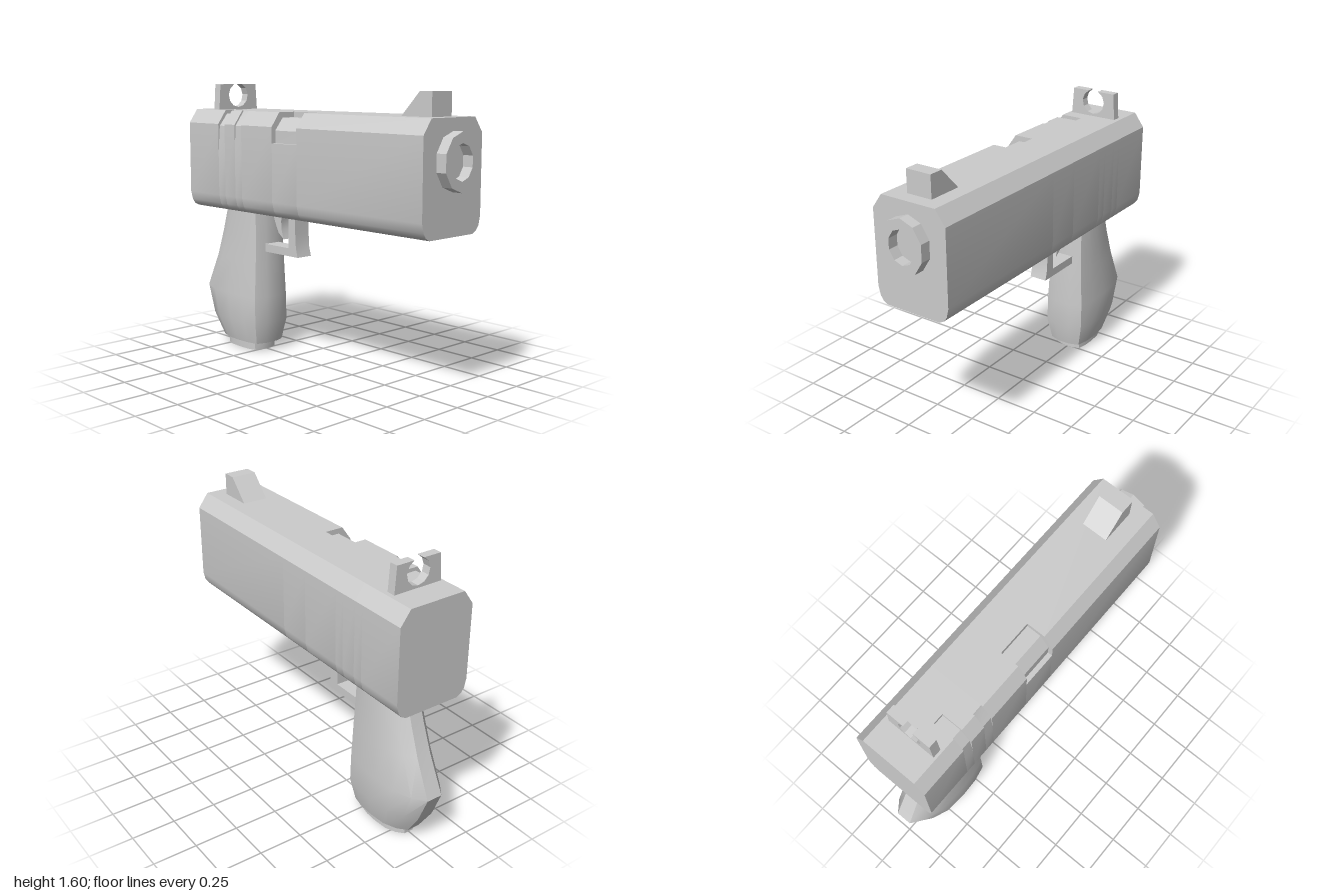
import * as THREE from 'three';
import { toCreasedNormals } from 'three/addons/utils/BufferGeometryUtils.js';

const material = new THREE.MeshStandardMaterial({ color: 0xcccccc });

function addMesh(parent, name, geometry) {
  const mesh = new THREE.Mesh(geometry, material);
  mesh.name = name;
  parent.add(mesh);
  return mesh;
}

const toShape = (points) => new THREE.Shape(points.map(([a, b]) => new THREE.Vector2(a, b)));

function extrude(shape, depth) {
  return new THREE.ExtrudeGeometry(shape, { depth, bevelEnabled: false, curveSegments: 8 });
}

// Cross-section given as [z, y], swept along x from x0 to x1
function alongX(points, x0, x1) {
  const g = extrude(toShape(points.map(([z, y]) => [-z, y])), x1 - x0);
  return toCreasedNormals(g.rotateY(Math.PI / 2).translate(x0, 0, 0), 0.5);
}

// Side outline given as [x, y], centred on z
function alongZ(points, width, z = 0) {
  return toCreasedNormals(extrude(toShape(points), width).translate(0, 0, z - width / 2), 0.5);
}

// Half of the grip section, front to back: [along x, across z], both as fractions
const HALF_SECTION = [[1, 0.34], [0.9, 0.84], [0.55, 0.97], [0.1, 1], [-0.4, 0.93], [-0.76, 0.68], [-1, 0.32]];
const SECTION = [...HALF_SECTION, ...HALF_SECTION.map(([u, w]) => [u, -w]).reverse()];

// Loft the section through levels [y, back x, front x, half width], from the bottom up
function loft(levels) {
  const rings = levels.map(([y, back, front, half]) => SECTION.map(([u, w]) =>
    [(back + front) / 2 + u * (front - back) / 2, y, w * half]));
  const n = SECTION.length;
  const out = [];
  for (let l = 0; l < rings.length - 1; l++) {
    for (let i = 0; i < n; i++) {
      const j = (i + 1) % n;
      const [a, b, c, d] = [rings[l][i], rings[l][j], rings[l + 1][j], rings[l + 1][i]];
      out.push(...a, ...d, ...b, ...b, ...d, ...c);
    }
  }
  const bottom = rings[0];
  const top = rings[rings.length - 1];
  for (let i = 1; i < n - 1; i++) {
    out.push(...bottom[0], ...bottom[i], ...bottom[i + 1]);
    out.push(...top[0], ...top[i + 1], ...top[i]);
  }
  const g = new THREE.BufferGeometry();
  g.setAttribute('position', new THREE.Float32BufferAttribute(out, 3));
  return toCreasedNormals(g, 0.5);
}

function createSlide() {
  const slide = new THREE.Group();
  slide.name = 'slide';
  // Common outline from the top far edge, round the bottom, up to the near wall
  const base = [[-0.165, 1.45], [-0.224, 1.37], [-0.224, 0.95], [-0.212, 0.9], [-0.193, 0.875], [-0.165, 0.86],
    [0.165, 0.86], [0.193, 0.875], [0.21, 0.9], [0.222, 0.95]];
  const full = [[0.222, 1.37], [0.165, 1.45]];
  const port = [[0.222, 1.28], [0.195, 1.28], [0.195, 1.35], [0.14, 1.42], [0.055, 1.42], [0.055, 1.45]];
  const longSlot = [[0.222, 1.21], [0.21, 1.36], [0.155, 1.43], [0.04, 1.43], [0.04, 1.45]];
  const shortSlot = [[0.222, 1.21], [0.215, 1.365], [0.16, 1.44], [0.155, 1.45]];
  // Lengthwise pieces, the recessed ones with a cut-back near edge
  const pieces = [
    ['slideRear', full, -0.935, -0.65],
    ['longSlot', longSlot, -0.65, -0.59],
    ['slideBetweenSlots', full, -0.59, -0.495],
    ['shortSlot', shortSlot, -0.495, -0.435],
    ['slideMiddle', full, -0.435, -0.165],
    ['sidePort', port, -0.165, 0.04],
    ['slideFront', full, 0.04, 0.94],
  ];
  for (const [name, edge, x0, x1] of pieces) addMesh(slide, name, alongX([...base, ...edge], x0, x1));
  return slide;
}

// Ten-sided ring, slightly taller than wide
function createMuzzle() {
  const ring = (r) => Array.from({ length: 10 }, (_, i) => {
    const a = Math.PI / 2 + i * Math.PI / 5;
    return new THREE.Vector2(r * 0.87 * Math.cos(a), r * Math.sin(a));
  });
  const shape = new THREE.Shape(ring(0.15));
  shape.holes.push(new THREE.Path(ring(0.094)));
  return extrude(shape, 0.065).rotateY(Math.PI / 2).translate(0.935, 1.235, 0);
}

// Upright plate with a round opening and a slot to the top
function createRearSight() {
  const r = 0.072, cy = 1.535;
  const start = Math.acos(0.03 / r);
  const arc = Array.from({ length: 11 }, (_, i) => {
    const a = start - i * (2 * start + Math.PI) / 10 * 1;
    return [r * Math.cos(a), cy + r * Math.sin(a)];
  });
  const points = [[-0.146, 1.44], [0.146, 1.44], [0.143, 1.47], [0.134, 1.6], [0.03, 1.6],
    ...arc, [-0.03, 1.6], [-0.134, 1.6], [-0.143, 1.47]];
  return alongX(points, -0.78, -0.73).translate(0, 0, 0.006);
}

export function createModel() {
  const model = new THREE.Group();
  model.name = 'model';

  model.add(createSlide());
  addMesh(model, 'muzzleRing', createMuzzle());
  addMesh(model, 'rearSight', createRearSight());
  addMesh(model, 'frontSight',
    alongZ([[0.65, 1.44], [0.86, 1.44], [0.86, 1.575], [0.78, 1.575], [0.66, 1.45]], 0.15, -0.005));

  // Grip and its base plug
  addMesh(model, 'grip', loft([
    [0.05, -0.85, -0.445, 0.117],
    [0.18, -0.935, -0.42, 0.147],
    [0.34, -1, -0.42, 0.145],
    [0.55, -0.9, -0.428, 0.132],
    [0.71, -0.84, -0.436, 0.124],
    [0.88, -0.785, -0.445, 0.118],
  ]));
  addMesh(model, 'gripBase', loft([[0, -0.815, -0.49, 0.092], [0.06, -0.815, -0.49, 0.092]]));

  // Guard and the curved lever inside it
  addMesh(model, 'guard', alongZ([[-0.46, 0.615], [-0.148, 0.615], [-0.162, 0.67], [-0.167, 0.75], [-0.167, 0.87],
    [-0.225, 0.87], [-0.225, 0.662], [-0.46, 0.662]], 0.104, -0.003));
  addMesh(model, 'trigger', alongZ([[-0.385, 0.87], [-0.36, 0.8], [-0.33, 0.74], [-0.285, 0.705],
    [-0.303, 0.76], [-0.306, 0.81], [-0.293, 0.87]], 0.07));

  return model;
}
